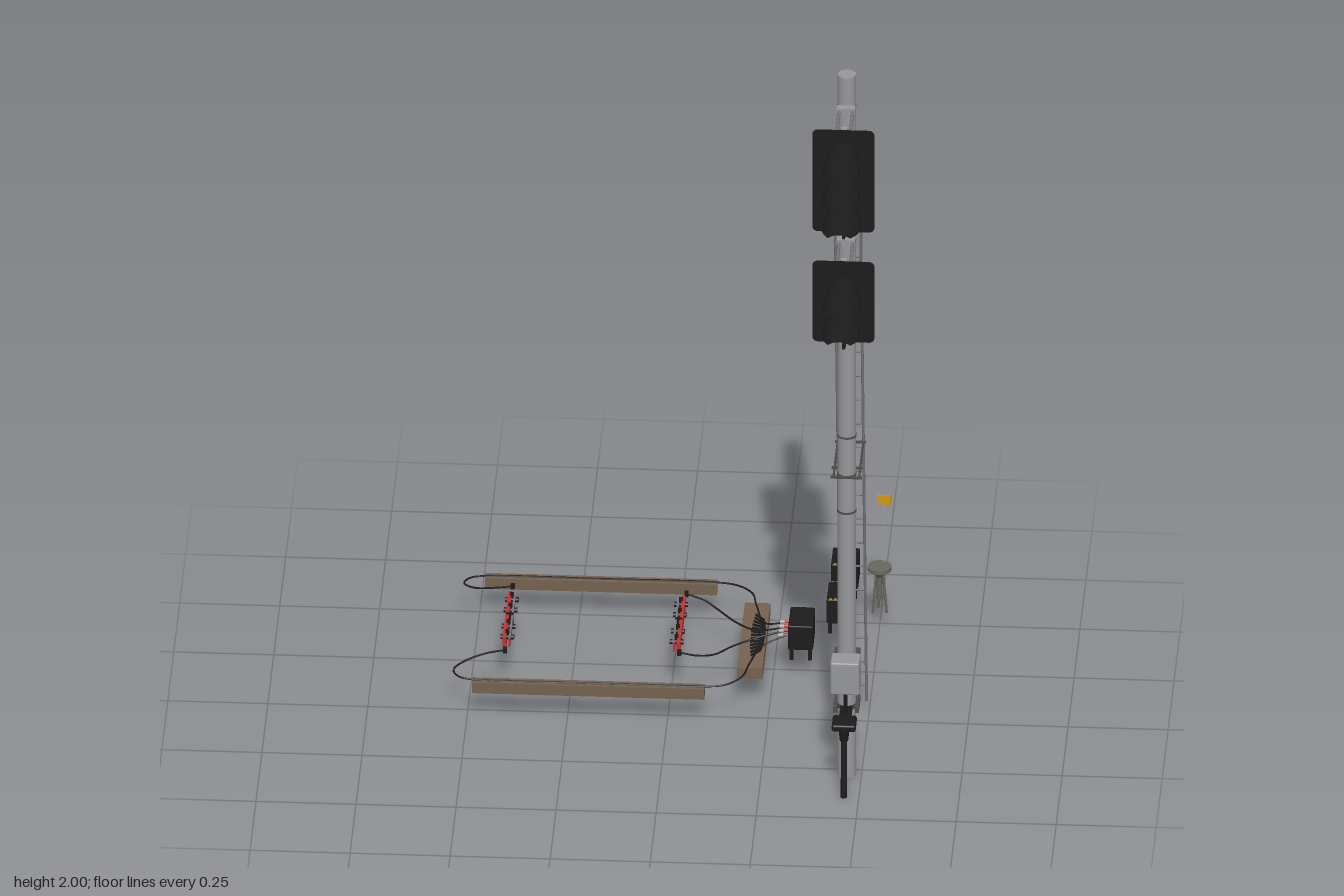
import * as THREE from 'three';
import { RoundedBoxGeometry } from 'three/addons/geometries/RoundedBoxGeometry.js';

const mat = (name, color, side = THREE.FrontSide) => {
  const m = new THREE.MeshStandardMaterial({ color, side });
  m.name = name;
  return m;
};
const V = (x, y, z) => new THREE.Vector3(x, y, z);

export function createModel() {
  const black = mat('black', 0x1c1c1c, THREE.DoubleSide), pole = mat('pole grey', 0x96979a);
  const pale = mat('pale grey', 0xa6a8aa), iron = mat('dark iron', 0x4c4d4d), steel = mat('steel grey', 0x77787a);
  const wood = mat('weathered wood', 0x75614e), red = mat('red', 0xcc2e2e);
  const yellow = mat('yellow', 0xd09a0c), stone = mat('olive grey', 0x686860);

  const root = new THREE.Group();
  root.name = 'trackSignal';
  const group = name => {
    const g = new THREE.Group();
    g.name = name;
    root.add(g);
    return g;
  };
  const add = (parent, name, geo, m, x = 0, y = 0, z = 0) => {
    const o = new THREE.Mesh(geo, m);
    o.name = name;
    o.position.set(x, y, z);
    parent.add(o);
    return o;
  };
  const box = (p, name, m, w, h, d, x, y, z) => add(p, name, new THREE.BoxGeometry(w, h, d), m, x, y, z);
  const soft = (p, name, m, w, h, d, r, x, y, z) => add(p, name, new RoundedBoxGeometry(w, h, d, 2, r), m, x, y, z);
  const rod = (p, name, m, a, b, r, sides = 8, r2 = r) => {
    const o = add(p, name, new THREE.CylinderGeometry(r2, r, a.distanceTo(b), sides), m);
    o.position.copy(a).lerp(b, 0.5);
    o.quaternion.setFromUnitVectors(V(0, 1, 0), b.clone().sub(a).normalize());
    return o;
  };
  const cable = (p, name, pts, r = 0.0024) => add(p, name, new THREE.TubeGeometry(
    new THREE.CatmullRomCurve3(pts.map(q => V(...q)), false, 'centripetal'), pts.length * 8, r, 6), black);

  const X = 0.463, Z = 0.27;

  // Mast with bands
  const mast = group('mast');
  add(mast, 'mastTube', new THREE.CylinderGeometry(0.023, 0.023, 2, 24), pole, X, 1, Z);
  for (const [y, h, m] of [[0.2, 0.012, iron], [0.335, 0.012, iron], [0.755, 0.005, iron], [0.86, 0.006, iron], [0.97, 0.005, iron],
    [1.325, 0.009, steel], [1.53, 0.009, steel], [1.635, 0.009, steel], [1.915, 0.009, steel]])
    add(mast, 'clampBand', new THREE.CylinderGeometry(0.0245, 0.0245, h, 24), m, X, y, Z);

  // Hood: an arch whose lower edge rises towards a flat tip
  const hoodGeometry = () => {
    const pos = [], idx = [], rows = 8, cols = 14;
    for (let i = 0; i <= rows; i++) {
      const t = i / rows;
      const w = 0.036 + 0.0115 * Math.sin(t * Math.PI * 0.85), cut = -0.026 + 0.051 * t;
      const a0 = Math.asin(cut / 0.034);
      for (let j = 0; j <= cols; j++) {
        const a = a0 + (Math.PI - 2 * a0) * j / cols;
        pos.push(Math.cos(a) * w, Math.sin(a) * 0.034 - 0.003 * t, t * 0.182);
      }
    }
    for (let i = 0; i < rows; i++) for (let j = 0; j < cols; j++) {
      const a = i * (cols + 1) + j, b = a + cols + 1;
      idx.push(a, a + 1, b, a + 1, b + 1, b);
    }
    const g = new THREE.BufferGeometry();
    g.setAttribute('position', new THREE.Float32BufferAttribute(pos, 3));
    g.setIndex(idx);
    g.computeVertexNormals();
    return g;
  };
  const hoodGeo = hoodGeometry();

  // Thin backplate with rounded corners
  const plateGeometry = (w, h, r) => {
    const s = new THREE.Shape();
    [[1, -1, -0.5], [1, 1, 0], [-1, 1, 0.5], [-1, -1, 1]].forEach(([sx, sy, a]) =>
      s.absarc(sx * (w / 2 - r), sy * (h / 2 - r), r, a * Math.PI, (a + 0.5) * Math.PI, false));
    return new THREE.ExtrudeGeometry(s, { depth: 0.002, bevelEnabled: false, curveSegments: 5 });
  };

  const head = (name, lo, hi, lamps) => {
    const g = group(name);
    add(g, 'backplate', plateGeometry(0.155, hi - lo, 0.014), black, X, (lo + hi) / 2, 0.414);
    for (const y of lamps) {
      soft(g, 'lampHousing', pole, 0.084, 0.07, 0.03, 0.008, X, y, 0.399);
      soft(g, 'lampDoor', pale, 0.056, 0.048, 0.014, 0.005, X, y, 0.381);
      for (const s of [-1, 1]) box(g, 'doorLatch', steel, 0.008, 0.016, 0.012, X + s * 0.036, y, 0.384);
      add(g, 'hood', hoodGeo, black, X, y, 0.418);
      // Lens with spokes and centre
      const disc = (n, r, m, z) => { add(g, n, new THREE.CylinderGeometry(r, r, 0.003, 20), m, X, y, z).rotation.x = Math.PI / 2; };
      disc('lens', 0.027, pale, 0.419);
      disc('lensInner', 0.015, black, 0.421);
      disc('lensCentre', 0.009, pale, 0.423);
      for (let k = 0; k < 4; k++)
        box(g, 'lensSpoke', steel, 0.054, 0.004, 0.002, X, y, 0.4215).rotation.z = k * Math.PI / 4;
    }
    // Mounting arms and feed cable
    for (const [y, end] of [[hi - 0.005, lamps[0]], [lo + 0.006, lamps[lamps.length - 1]]]) {
      for (const s of [-1, 1]) rod(g, 'mountArm', steel, V(X + s * 0.017, y, Z), V(X + s * 0.017, y - 0.005, 0.4), 0.004);
      box(g, 'mountBlock', pole, 0.046, 0.014, 0.02, X, y, 0.3);
      rod(g, 'mountStem', pole, V(X, y, 0.395), V(X, end, 0.395), 0.009);
    }
    cable(g, 'feedCable', [[X, lo + 0.035, 0.39], [X, lo, 0.403], [X, lo - 0.035, 0.38], [X, lo - 0.042, 0.335], [X, lo - 0.025, 0.288]], 0.003);
    box(g, 'drain', black, 0.008, 0.03, 0.008, X, lo - 0.01, 0.405);
  };
  head('upperHead', 1.63, 1.92, [1.851, 1.772, 1.692]);
  head('lowerHead', 1.315, 1.545, [1.466, 1.386]);

  // Ladder with braces to the mast
  const ladder = group('ladder');
  const foot = V(X, 0.045, -0.025), top = V(X, 1.64, 0.24);
  const at = (t, dx) => { const p = foot.clone().lerp(top, t); p.x += dx; return p; };
  for (const s of [-1, 1]) {
    rod(ladder, 'ladderRail', steel, at(0, s * 0.032), at(1, s * 0.032), 0.004, 6);
    rod(ladder, 'topBrace', steel, at(1, s * 0.032), V(X + s * 0.032, 1.64, 0.285), 0.004, 6);
    rod(ladder, 'middleBrace', iron, V(X + s * 0.032, 0.86, 0.11), V(X + s * 0.032, 0.86, 0.295), 0.003, 6);
  }
  for (let i = 0; i < 21; i++) {
    const t = 0.03 + i * 0.047;
    rod(ladder, 'rung', steel, at(t, -0.032), at(t, 0.032), 0.0024, 6);
  }
  for (const [y, z] of [[1.64, 0.243], [0.86, 0.245], [0.86, 0.295], [0.86, 0.112]])
    box(ladder, 'braceBar', iron, 0.078, 0.006, 0.005, X, y, z);

  // Junction box on the mast
  const junction = group('junctionBox');
  soft(junction, 'cabinet', pole, 0.072, 0.09, 0.057, 0.004, X, 0.315, 0.325);
  box(junction, 'cabinetDoor', pole, 0.06, 0.078, 0.004, X, 0.315, 0.354);
  for (const s of [-1, 1]) box(junction, 'cabinetClamp', iron, 0.012, 0.016, 0.07, X + s * 0.026, 0.335, 0.272);
  rod(junction, 'conduit', black, V(X, 0.2, 0.33), V(X, 0.272, 0.33), 0.005);

  // Cable terminal with leg
  const terminal = group('cableTerminal');
  box(terminal, 'terminalArm', black, 0.03, 0.012, 0.1, X, 0.2, 0.31);
  soft(terminal, 'terminalHead', black, 0.06, 0.018, 0.058, 0.005, X, 0.203, 0.378);
  rod(terminal, 'terminalNeck', black, V(X, 0.16, 0.386), V(X, 0.2, 0.384), 0.011, 10, 0.015);
  rod(terminal, 'terminalLeg', black, V(X, 0.004, 0.399), V(X, 0.18, 0.385), 0.008, 10);
  for (const s of [-1, 1]) box(terminal, 'terminalClamp', iron, 0.01, 0.016, 0.07, X + s * 0.027, 0.2, 0.268);

  // Wooden troughs, mirrored about the loop centre line
  const loop = group('trackLoop'), ZC = -0.24;
  for (const s of [-1, 1]) {
    const z = o => ZC + s * o;
    box(loop, 'trough', wood, 0.58, 0.03, 0.028, -0.197, 0.085, z(0.267));
    box(loop, 'troughSlot', iron, 0.58, 0.002, 0.009, -0.197, 0.1, z(0.267));
    cable(loop, 'loopCable', [[-0.412, 0.13, z(0.163)], [-0.457, 0.122, z(0.167)], [-0.507, 0.11, z(0.185)], [-0.537, 0.103, z(0.22)],
      [-0.522, 0.101, z(0.253)], [-0.477, 0.1, z(0.266)], [-0.2, 0.1, z(0.267)], [0.083, 0.1, z(0.267)], [0.143, 0.1, z(0.255)],
      [0.183, 0.102, z(0.215)], [0.198, 0.104, z(0.15)], [0.228, 0.105, z(0.055)], [0.288, 0.125, z(0.034)]]);
    cable(loop, 'innerCable', [[0.023, 0.13, z(0.15)], [0.068, 0.118, z(0.142)], [0.108, 0.106, z(0.112)], [0.153, 0.103, z(0.06)],
      [0.203, 0.104, z(0.022)], [0.253, 0.115, z(0.011)], [0.288, 0.125, z(0.011)]]);
    box(loop, 'cableLug', black, 0.01, 0.014, 0.01, -0.412, 0.13, z(0.163));
    box(loop, 'cableLug', black, 0.01, 0.014, 0.01, 0.023, 0.13, z(0.15));
    for (const o of [0.011, 0.034]) {
      rod(loop, 'plug', pale, V(0.264, 0.122, z(o)), V(0.276, 0.124, z(o)), 0.005);
      rod(loop, 'plugCollar', red, V(0.276, 0.124, z(o)), V(0.29, 0.125, z(o)), 0.004);
    }
  }
  // Cross trough with fanned cable clips
  box(loop, 'crossTrough', wood, 0.064, 0.03, 0.335, 0.2, 0.085, ZC);
  for (let i = -6; i <= 6; i++)
    box(loop, 'cableClip', black, 0.036, 0.005, 0.004, 0.211, 0.1025, ZC + i * 0.015).rotation.y = i * 0.15;

  // Red track sensors with bolts
  for (const [x, s] of [[-0.41, -1], [0.013, 1]]) {
    const g = group('trackSensor');
    box(g, 'sensorPlate', red, 0.009, 0.03, 0.235, x + s * 0.006, 0.127, ZC);
    box(g, 'sensorBack', red, 0.004, 0.024, 0.235, x - s * 0.006, 0.125, ZC);
    box(g, 'sensorRail', steel, 0.005, 0.005, 0.235, x - s * 0.007, 0.139, ZC);
    for (const o of [-0.095, -0.042, 0.042, 0.095]) {
      rod(g, 'sensorBolt', black, V(x - 0.017, 0.13, ZC + o), V(x + 0.017, 0.13, ZC + o), 0.0065, 10);
      box(g, 'boltCap', black, 0.01, 0.012, 0.008, x, 0.143, ZC + o);
    }
    box(g, 'sensorTie', black, 0.018, 0.034, 0.006, x, 0.128, ZC);
  }

  // Equipment boxes on legs, two with hazard edging
  for (const [x, z, w, d, hazard] of [[0.32, -0.24, 0.062, 0.1, 0], [0.411, -0.377, 0.068, 0.093, 1], [0.411, -0.555, 0.068, 0.09, 1]]) {
    const g = group('equipmentBox');
    soft(g, 'boxBody', black, w, 0.068, d, 0.003, x, 0.124, z);
    box(g, 'boxLid', black, w - 0.012, 0.006, d - 0.012, x, 0.158, z);
    for (const sx of [-1, 1]) for (const sz of [-1, 1])
      box(g, 'boxLeg', black, 0.009, 0.04, 0.009, x + sx * (w / 2 - 0.008), 0.079, z + sz * (d / 2 - 0.01));
    if (hazard) for (const s of [-1, 1]) for (let i = 0; i < 5; i++)
      box(g, 'hazardStripe', yellow, 0.007, 0.004, 0.004, x + (i - 2) * 0.012, 0.1575, z + s * (d / 2 - 0.003)).rotation.y = 0.4;
  }

  // Marker stand with flag
  const stand = group('markerStand'), sx = 0.501, sz = -0.465;
  add(stand, 'standTop', new THREE.CylinderGeometry(0.03, 0.03, 0.01, 24), stone, sx, 0.179, sz);
  add(stand, 'standNeck', new THREE.CylinderGeometry(0.022, 0.009, 0.02, 16), stone, sx, 0.164, sz);
  rod(stand, 'standPost', stone, V(sx, 0.09, sz), V(sx, 0.165, sz), 0.007);
  for (let i = 0; i < 3; i++) {
    const a = i * Math.PI * 2 / 3 + 0.4;
    rod(stand, 'standLeg', stone, V(sx + Math.cos(a) * 0.02, 0.055, sz + Math.sin(a) * 0.02),
      V(sx + Math.cos(a) * 0.01, 0.165, sz + Math.sin(a) * 0.01), 0.0035, 6);
  }
  rod(stand, 'flagPole', pale, V(0.511, 0.18, -0.485), V(0.511, 0.352, -0.485), 0.0014, 6);
  box(stand, 'flag', yellow, 0.034, 0.027, 0.002, 0.511, 0.362, -0.485);

  return root;
}
